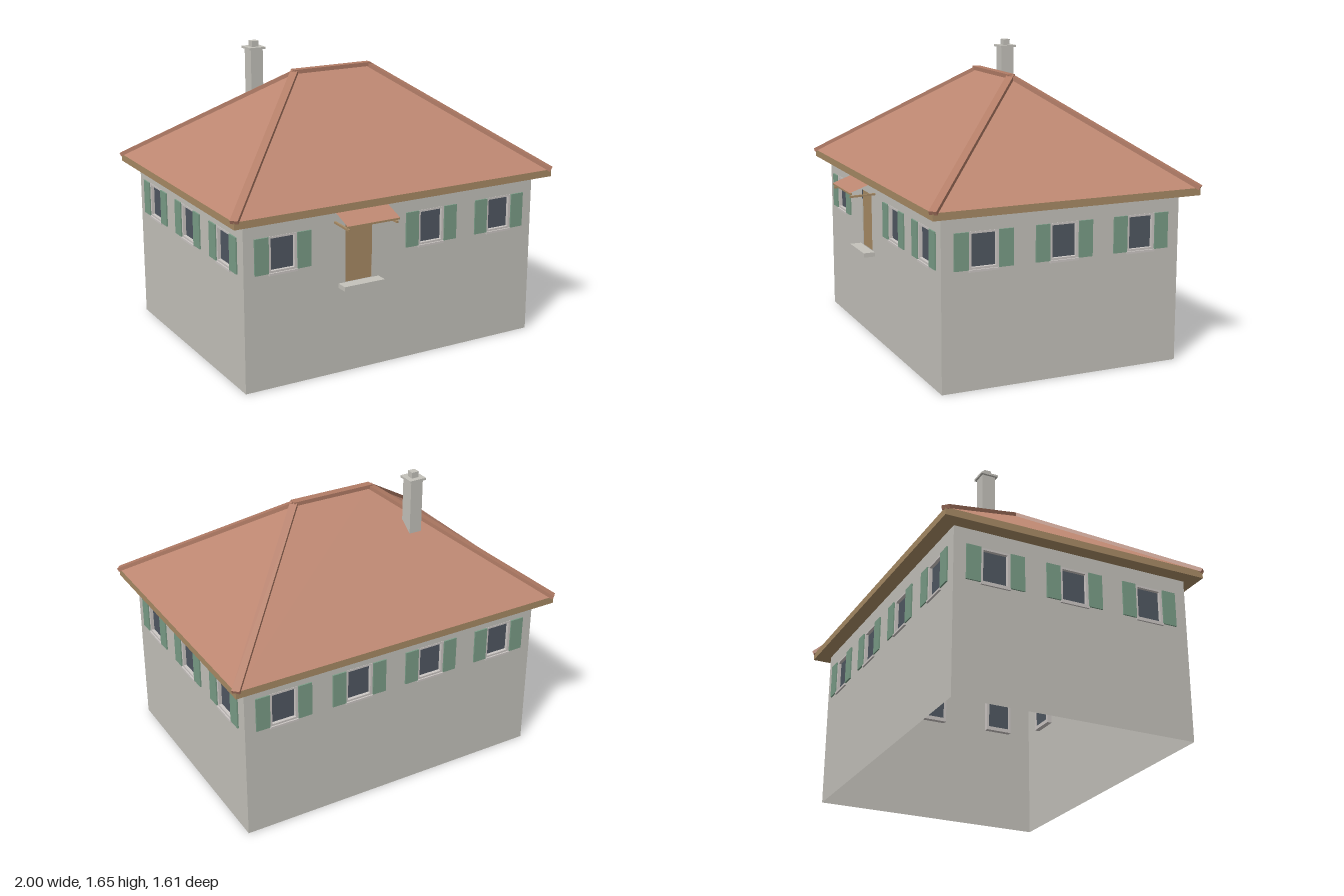
import * as THREE from 'three';

const paint = (name, color, side = THREE.FrontSide) => {
  const m = new THREE.MeshStandardMaterial({ color, side });
  m.name = name;
  return m;
};

export function createModel() {
  const house = new THREE.Group();
  house.name = 'house';
  const plaster = paint('plaster', 0xc4c2bb, THREE.DoubleSide);
  const tile = paint('roofTile', 0xbd8771, THREE.DoubleSide);
  const ridgeTile = paint('ridgeTile', 0xb27c66);
  const wood = paint('wood', 0xa88b65);
  const green = paint('shutterGreen', 0x7a9d87);
  const glass = paint('glass', 0x505862);
  const trim = paint('trim', 0xccc7c4);

  const CZ = -0.03, WALL_TOP = 0.92, EAVE = 0.96, RIDGE = 1.505;

  const add = (parent, name, geo, mat) => {
    const m = new THREE.Mesh(geo, mat);
    m.name = name;
    parent.add(m);
    return m;
  };
  // Box given by its limits on each axis
  const box = (parent, name, mat, [x0, x1], [y0, y1], [z0, z1]) => {
    const m = add(parent, name, new THREE.BoxGeometry(x1 - x0, y1 - y0, z1 - z0), mat);
    m.position.set((x0 + x1) / 2, (y0 + y1) / 2, (z0 + z1) / 2);
    return m;
  };
  const rect = (P, x0, x1, y0, y1) => {
    const p = new P();
    p.moveTo(x0, y0);
    p.lineTo(x1, y0);
    p.lineTo(x1, y1);
    p.lineTo(x0, y1);
    p.closePath();
    return p;
  };
  // Square bar from a to b
  const bar = (parent, name, mat, a, b, w, h) => {
    const m = add(parent, name, new THREE.BoxGeometry(w, h, a.distanceTo(b)), mat);
    m.position.copy(a).lerp(b, 0.5);
    m.lookAt(b);
    return m;
  };

  // Recessed window with frame, sill and a pair of shutters
  const addWindow = (parent, u) => {
    const w = new THREE.Group();
    w.name = 'window';
    w.position.x = u;
    parent.add(w);
    const ring = rect(THREE.Shape, -0.0825, 0.0825, 0.635, 0.83);
    ring.holes.push(rect(THREE.Path, -0.068, 0.068, 0.646, 0.819));
    const frame = add(w, 'windowFrame', new THREE.ExtrudeGeometry(ring, { depth: 0.032, bevelEnabled: false }), trim);
    frame.position.z = -0.03;
    box(w, 'windowPane', glass, [-0.068, 0.068], [0.646, 0.819], [-0.024, -0.016]);
    box(w, 'windowSill', trim, [-0.0825, 0.0825], [0.623, 0.635], [-0.03, 0.01]);
    for (const s of [-1, 1]) {
      const shutter = box(w, 'shutter', green, [-0.04, 0.04], [0.635, 0.83], [0.001, 0.009]);
      shutter.position.x = s * 0.1225;
    }
  };

  // Wall pierced by its windows and, on the front, the doorway
  const door = [-0.31, -0.145, 0.505, 0.83];
  const addWall = (name, half, dist, angle, windows, hasDoor) => {
    const g = new THREE.Group();
    g.name = name;
    g.rotation.y = angle;
    g.position.set(Math.sin(angle) * dist, 0, CZ + Math.cos(angle) * dist);
    house.add(g);
    const s = rect(THREE.Shape, -half, half, 0, WALL_TOP);
    for (const u of windows) s.holes.push(rect(THREE.Path, u - 0.0825, u + 0.0825, 0.635, 0.83));
    if (hasDoor) s.holes.push(rect(THREE.Path, ...door));
    add(g, name + 'Surface', new THREE.ShapeGeometry(s), plaster);
    windows.forEach((u) => addWindow(g, u));
    return g;
  };
  const sideWindows = [-0.45, 0, 0.45];
  const front = addWall('frontWall', 0.9, 0.68, 0, [-0.678, 0.225, 0.675], true);
  addWall('leftWall', 0.68, 0.9, Math.PI / 2, sideWindows);
  addWall('backWall', 0.9, 0.68, Math.PI, [-0.675, -0.225, 0.225, 0.675]);
  addWall('rightWall', 0.68, 0.9, -Math.PI / 2, sideWindows);

  // Door and step
  box(front, 'door', wood, [door[0], door[1]], [door[2], door[3]], [-0.025, -0.005]);
  box(front, 'doorStep', plaster, [-0.35, -0.105], [0.48, 0.505], [0, 0.065]);

  // Door canopy: thin sloping sheet on two struts with a front rail
  const canopy = new THREE.Group();
  canopy.name = 'doorCanopy';
  front.add(canopy);
  const sheet = new THREE.PlaneGeometry(0.315, Math.hypot(0.15, 0.053));
  sheet.rotateX(-Math.atan2(0.15, 0.053));
  add(canopy, 'canopySheet', sheet, tile).position.set(-0.2275, 0.8915, 0.075);
  box(canopy, 'canopyRail', wood, [-0.385, -0.07], [0.854, 0.864], [0.138, 0.149]);
  for (const x of [-0.372, -0.083]) {
    bar(canopy, 'canopyStrut', wood, new THREE.Vector3(x, 0.828, 0), new THREE.Vector3(x, 0.858, 0.145), 0.011, 0.011);
  }

  // Hipped roof: eaves board and four sloping faces
  const RX = 0.98, RZ = 0.757, RC = -0.035, RR = 0.235;
  box(house, 'eavesBoard', wood, [-RX, RX], [WALL_TOP, EAVE], [RC - RZ, RC + RZ]);
  const A = [-RX, EAVE, RC + RZ], B = [RX, EAVE, RC + RZ];
  const C = [RX, EAVE, RC - RZ], D = [-RX, EAVE, RC - RZ];
  const L = [-RR, RIDGE, RC], R = [RR, RIDGE, RC];
  const tris = [A, B, R, A, R, L, B, C, R, C, D, L, C, L, R, D, A, L];
  const roofGeo = new THREE.BufferGeometry();
  roofGeo.setAttribute('position', new THREE.Float32BufferAttribute(tris.flat(), 3));
  roofGeo.computeVertexNormals();
  add(house, 'roof', roofGeo, tile);

  // Ridge and hip tiles
  box(house, 'ridgeCap', ridgeTile, [-RR - 0.01, RR + 0.01], [RIDGE - 0.01, RIDGE + 0.012], [RC - 0.022, RC + 0.022]);
  for (const [corner, top] of [[A, L], [B, R], [C, R], [D, L]]) {
    bar(house, 'hipCap', ridgeTile, new THREE.Vector3(...corner), new THREE.Vector3(...top), 0.042, 0.022);
  }

  // Chimney
  const chimney = new THREE.Group();
  chimney.name = 'chimney';
  house.add(chimney);
  box(chimney, 'chimneyStack', plaster, [-0.402, -0.328], [1.2, 1.61], [-0.315, -0.237]);
  box(chimney, 'chimneyCap', plaster, [-0.415, -0.315], [1.608, 1.62], [-0.326, -0.226]);
  box(chimney, 'chimneyPot', plaster, [-0.386, -0.344], [1.62, 1.653], [-0.297, -0.255]);

  return house;
}
